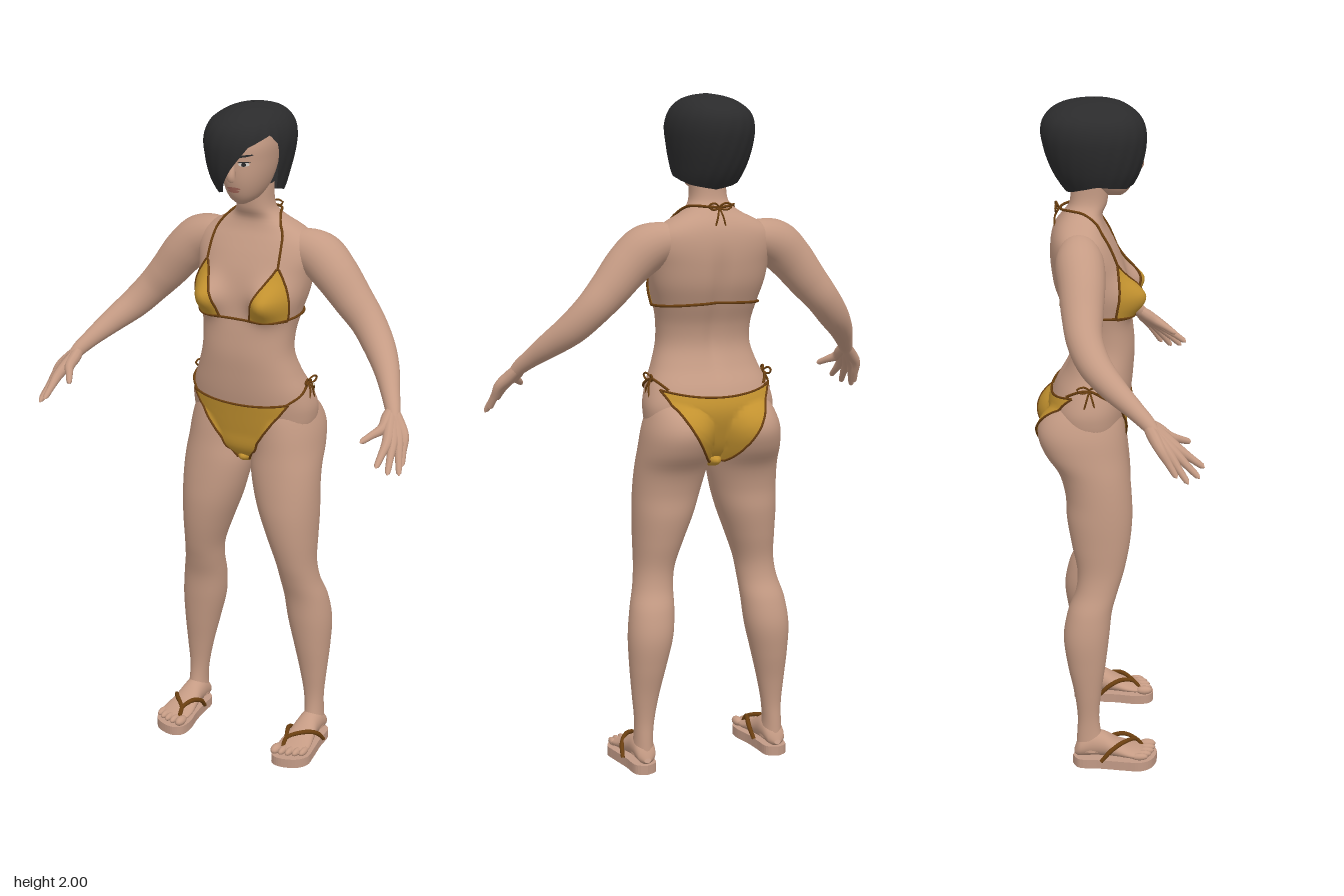
import * as THREE from 'three';

const mat = (name, color, side = THREE.FrontSide) =>
  Object.assign(new THREE.MeshStandardMaterial({ color, side }), { name });
const V = (x, y, z) => new THREE.Vector3(x, y, z);
const lerp = THREE.MathUtils.lerp;

// Smooth interpolation through rows whose first entry is the position
function sample(rows, t) {
  let i = 0;
  while (i < rows.length - 2 && t > rows[i + 1][0]) i++;
  const a = rows[i], b = rows[i + 1], p = rows[i - 1] ?? a, q = rows[i + 2] ?? b;
  const h = b[0] - a[0], s = THREE.MathUtils.clamp((t - a[0]) / h, 0, 1);
  return a.map((_, k) => {
    const m0 = (b[k] - p[k]) / (b[0] - p[0]) * h, m1 = (q[k] - a[k]) / (q[0] - a[0]) * h;
    return a[k] * (2 * s ** 3 - 3 * s * s + 1) + m0 * (s ** 3 - 2 * s * s + s)
      + b[k] * (3 * s * s - 2 * s ** 3) + m1 * (s ** 3 - s * s);
  });
}

// Surface from fn(u, v); closed joins u = 1 to u = 0
function grid(fn, nu, nv, closed) {
  const pos = [], idx = [], cols = closed ? nu : nu + 1;
  for (let j = 0; j <= nv; j++)
    for (let i = 0; i < cols; i++) pos.push(...fn(i / nu, j / nv).toArray());
  for (let j = 0; j < nv; j++)
    for (let i = 0; i < nu; i++) {
      const a = j * cols + i, b = j * cols + (i + 1) % cols;
      idx.push(a, b, a + cols, b, b + cols, a + cols);
    }
  const g = new THREE.BufferGeometry();
  g.setAttribute('position', new THREE.Float32BufferAttribute(pos, 3));
  g.setIndex(idx);
  g.computeVertexNormals();
  return g;
}

// Point on a ring [y, centreX, halfWidth, zFront, zBack]
function ringPoint(rows, y, ang, p = 2) {
  const [, cx, rx, zf, zb] = sample(rows, y), c = Math.cos(ang), s = Math.sin(ang);
  const e = n => Math.sign(n) * Math.abs(n) ** (2 / p);
  return V(cx + rx * e(c), y, (zf + zb) / 2 + (zf - zb) / 2 * e(s));
}
function loft(rows, nu, nv, p, deform = q => q) {
  const y0 = rows[0][0], y1 = rows.at(-1)[0];
  return grid((u, v) => deform(ringPoint(rows, lerp(y0, y1, v), -u * 2 * Math.PI, p)), nu, nv, true);
}

// Tube of varying radius through [x, y, z, r]
function limb(pts, seg = 40, sides = 20) {
  const path = new THREE.CatmullRomCurve3(pts.map(p => V(p[0], p[1], p[2])));
  const g = new THREE.TubeGeometry(path, seg, 1, sides), pos = g.attributes.position;
  const radii = pts.map((p, i) => [i, p[3]]), q = V(0, 0, 0);
  for (let i = 0; i <= seg; i++) {
    const c = path.getPointAt(i / seg), r = sample(radii, path.getUtoTmapping(i / seg) * (pts.length - 1))[1];
    for (let j = 0; j <= sides; j++) {
      const k = i * (sides + 1) + j;
      q.fromBufferAttribute(pos, k).sub(c).multiplyScalar(r).add(c);
      pos.setXYZ(k, q.x, q.y, q.z);
    }
  }
  return g;
}

export function createModel() {
  const root = new THREE.Group();
  const skin = mat('skin', 0xc59b84), hairMat = mat('black hair', 0x2b2b2c, THREE.DoubleSide);
  const gold = mat('gold fabric', 0xc3922f, THREE.DoubleSide), trim = mat('brown trim', 0x6b3f10);
  const soleMat = mat('sandal sole', 0xc29a86), lipMat = mat('lips', 0xa86a5c, THREE.DoubleSide);
  const white = mat('eye white', 0xd8d0ca, THREE.DoubleSide);
  const add = (name, geo, material) => {
    const m = new THREE.Mesh(geo, material);
    m.name = name;
    root.add(m);
    return m;
  };

  // Torso with bust, spine groove and neck
  const torso = add('torso', loft([
    [.925, 0, .03, -.04, -.1], [.97, 0, .11, .01, -.15], [1.03, 0, .18, .022, -.18], [1.1, 0, .198, .034, -.196],
    [1.16, 0, .186, .044, -.178], [1.22, 0, .161, .05, -.146], [1.28, 0, .143, .053, -.127], [1.34, 0, .143, .048, -.133],
    [1.4, 0, .154, .04, -.157], [1.46, 0, .17, .034, -.18], [1.52, 0, .18, .02, -.19], [1.57, 0, .19, 0, -.192],
    [1.61, 0, .18, -.02, -.187], [1.64, 0, .14, -.035, -.176], [1.67, 0, .082, -.04, -.155], [1.7, 0, .056, -.027, -.135],
    [1.77, 0, .052, -.02, -.13]], 80, 90, 2.3, q => {
    if (q.z > -.06) q.z += .058 * Math.exp(-(((Math.abs(q.x) - .1) / .048) ** 2) - ((q.y - 1.445) / .05) ** 2);
    else q.z += .012 * Math.exp(-((q.x / .022) ** 2) - ((q.y - 1.38) / .16) ** 4);
    return q;
  }), skin);

  // Head and nose
  const head = add('head', loft([
    [1.722, 0, .012, .016, -.04], [1.735, 0, .034, .032, -.065], [1.76, 0, .052, .046, -.1], [1.8, 0, .066, .056, -.13],
    [1.85, 0, .074, .058, -.15], [1.9, 0, .076, .056, -.16], [1.95, 0, .06, .03, -.14], [1.975, 0, .02, -.02, -.08]],
  48, 36, 2.2), skin);
  add('nose', limb([[0, 1.862, .05, .004], [0, 1.84, .056, .008], [0, 1.812, .065, .013], [0, 1.8, .06, .009], [0, 1.797, .053, .001]], 16, 12), skin);

  // Legs, feet and sandals
  const legs = [-1, 1].map(s => add(s > 0 ? 'leftLeg' : 'rightLeg', loft([
    [.05, .21, .033, -.03, -.125], [.1, .21, .028, -.048, -.122], [.16, .207, .03, -.055, -.12], [.24, .203, .041, -.048, -.13],
    [.33, .196, .055, -.035, -.149], [.42, .187, .067, -.024, -.16], [.5, .178, .066, -.015, -.146], [.56, .168, .06, .002, -.123],
    [.62, .16, .06, .02, -.118], [.7, .147, .074, .037, -.134], [.78, .133, .09, .045, -.148], [.85, .122, .1, .043, -.152],
    [.92, .113, .106, .037, -.172], [.98, .11, .104, .03, -.213], [1.04, .105, .101, .025, -.232], [1.09, .1, .09, .018, -.212],
    [1.14, .1, .068, 0, -.15]].map(r => [r[0], s * r[1], ...r.slice(2)]), 40, 80, 2.1), skin));
  for (const s of [-1, 1]) {
    const side = s > 0 ? 'left' : 'right';
    add(side + 'Foot', loft([
      [-.13, .212, .01, -.035, -.05], [-.12, .211, .027, -.029, -.08], [-.08, .21, .034, -.029, -.11], [-.04, .21, .036, -.029, -.105],
      [0, .211, .043, -.029, -.08], [.04, .212, .05, -.029, -.062], [.075, .212, .046, -.029, -.052], [.09, .21, .03, -.033, -.045]]
      .map(r => [r[0], s * r[1], ...r.slice(2)]), 28, 24).rotateX(Math.PI / 2), skin);
    [.172, .195, .216, .236, .254].forEach((x, i) => add(side + 'Toe', new THREE.SphereGeometry(1, 12, 8)
      .scale(i ? .0105 : .015, i ? .011 : .014, .026).translate(s * x, .042, .092 - i * i * .0016), skin));
    const outline = new THREE.SplineCurve([[.213, -.135], [.245, -.115], [.252, -.05], [.264, .02], [.269, .07], [.245, .105],
      [.195, .121], [.162, .105], [.156, .06], [.168, 0], [.174, -.06], [.18, -.115], [.213, -.135]]
      .map(p => new THREE.Vector2(s * p[0], p[1]))).getPoints(60);
    add(side + 'SandalSole', new THREE.ExtrudeGeometry(new THREE.Shape(outline), { depth: .029, bevelEnabled: false })
      .rotateX(Math.PI / 2).translate(0, .029, 0), soleMat);
    for (const [x0, x1] of [[.168, .165], [.262, .254]])
      add(side + 'SandalStrap', limb([[s * .186, .036, .082, .005], [s * .188, .066, .06, .006],
        [s * lerp(.188, x1, .6), .078, .02, .007], [s * x1, .062, -.02, .007], [s * x0, .03, -.05, .006]], 24, 8), trim);
  }

  // Arms and hands
  for (const s of [-1, 1]) {
    const side = s > 0 ? 'left' : 'right', flip = pts => pts.map(([x, ...r]) => [s * x, ...r]);
    add(side + 'Arm', limb(flip([[.1, 1.585, -.11, .04], [.15, 1.585, -.108, .058], [.2, 1.568, -.105, .069], [.25, 1.525, -.1, .066],
      [.31, 1.455, -.098, .058], [.36, 1.4, -.092, .051], [.41, 1.345, -.065, .046], [.46, 1.295, -.015, .037],
      [.5, 1.25, .04, .027], [.528, 1.215, .08, .021], [.545, 1.185, .105, .012]]), 60, 24), skin);
    for (const [k, t] of [
      [[.578, 1.16, .112], [.595, 1.087, .155]], [[.57, 1.153, .13], [.601, 1.072, .186]],
      [[.561, 1.15, .147], [.58, 1.08, .217]], [[.55, 1.152, .161], [.551, 1.1, .231]],
      [[.523, 1.18, .135], [.484, 1.15, .196]]]) {
      const mid = f => k.map((v, i) => lerp(v, t[i], f));
      add(side + 'Finger', limb(flip([[.523, 1.222, .073, .014], [...k.map((v, i) => lerp([.523, 1.222, .073][i], v, .5)), .018],
        [...k, .015], [...mid(.5), .0105], [...mid(.9), .008], [...mid(1), .001]]), 24, 10), skin);
    }
  }

  // Swept bob with a diagonal fringe
  const hairRows = [
    [1.725, 0, .08, .03, -.135], [1.76, -.004, .096, .052, -.163], [1.8, -.008, .109, .07, -.185], [1.86, -.01, .122, .083, -.207],
    [1.91, -.01, .125, .083, -.215], [1.95, -.008, .112, .066, -.204], [1.98, -.002, .079, .028, -.168],
    [1.994, 0, .042, -.012, -.12], [2, 0, .003, -.06, -.066]];
  const edge = [[-90, 1.732], [-40, 1.745], [0, 1.765], [11, 1.768], [19, 1.9], [32, 1.93], [60, 1.9], [85, 1.83], [108, 1.76],
    [125, 1.752], [180, 1.765], [225, 1.745], [270, 1.732]];
  const edgeY = deg => {
    const i = Math.max(1, edge.findIndex(e => e[0] >= deg)), [a, b] = [edge[i - 1], edge[i]];
    return lerp(a[1], b[1], (deg - a[0]) / (b[0] - a[0]));
  };
  add('hair', grid((u, v) => {
    const deg = 270 - 360 * u, y = lerp(edgeY(deg), 2, 1 - (1 - v) ** 1.5);
    const q = ringPoint(hairRows, y, deg * Math.PI / 180, 2.1);
    const k = 1 + .008 * Math.sin(deg * .35 + y * 40) * (1 - v);
    return V(q.x * k, q.y, (q.z + .065) * k - .065);
  }, 120, 32, true), hairMat);

  // Shrink-wrapping onto the body
  root.updateMatrixWorld(true);
  const ray = new THREE.Raycaster(), body = [torso, ...legs];
  let last = V(0, 0, 0);
  const cast = (origin, dir, lift, targets) => {
    ray.set(origin, dir);
    const hit = ray.intersectObjects(targets, false)[0];
    if (hit) last = hit.point.clone().addScaledVector(hit.face.normal, lift);
    return last.clone();
  };
  const onto = (x, y, dir = 1, lift = .005, targets = body) => cast(V(x, y, 2 * dir), V(0, 0, -dir), lift, targets);
  const around = (deg, y) => {
    const d = V(Math.cos(deg * Math.PI / 180), 0, Math.sin(deg * Math.PI / 180));
    return cast(V(0, y, -.07).addScaledVector(d, 2), d.negate(), .004, body);
  };
  const cord = (name, pts, r = .004, closed = false) =>
    add(name, new THREE.TubeGeometry(new THREE.CatmullRomCurve3(pts, closed), pts.length * 3, r, 6, closed), trim);
  const steps = (n, fn) => Array.from({ length: n + 1 }, (_, i) => fn(i / n));
  function panel(name, shape, dir) {
    const at = (u, v) => onto(...shape(u, v), dir);
    add(name, grid(at, 20, 20), gold);
    for (const f of [t => at(0, t), t => at(1, t), t => at(t, 1), t => at(t, 0)]) cord(name + 'Trim', steps(16, f), .0035);
  }

  // Bikini bottom, front and back
  panel('bikiniFront', (u, v) => {
    const k = 2 * u - 1;
    return [k * lerp(.024, .155, v ** 1.08), lerp(.938, 1.126 + .012 * k * k, v)];
  }, 1);
  panel('bikiniBack', (u, v) => {
    const k = 1 - 2 * u;
    return [k * lerp(.028, .165, v ** .85), lerp(.945, 1.138 + .022 * k * k, v)];
  }, -1);
  add('bikiniGusset', new THREE.SphereGeometry(1, 20, 12).scale(.03, .025, .085).translate(0, .945, -.075), gold);

  // Bows: two loops and two tails
  function bow(name, c, out, across) {
    for (const k of [-1, 1]) {
      const p = (a, b, y) => c.clone().addScaledVector(across, k * a).addScaledVector(out, b).add(V(0, y, 0));
      cord(name, [p(0, 0, 0), p(.018, .008, .013), p(.036, .01, .006), p(.022, .008, -.006)], .003, true);
      cord(name, [p(0, 0, 0), p(.008, .012, -.025), p(.016, .012, -.055)], .0028);
    }
  }
  for (const s of [-1, 1]) {
    const a = d => s > 0 ? d : 180 - d;
    cord('hipString', [[27, 1.137], [13, 1.162], [-3, 1.186], [-15, 1.178], [-27, 1.16]].map(([d, y]) => around(a(d), y)));
    bow('hipBow', around(a(-3), 1.188), V(s, 0, 0), V(0, 0, 1));
  }

  // Bikini cups, neck straps and chest band
  for (const s of [-1, 1]) {
    panel(s > 0 ? 'leftCup' : 'rightCup', (u, v) => {
      const b = Math.sin(Math.PI * v);
      const inner = lerp(.05, .112, v) - .004 * b, outer = lerp(.142, .118, v) + .019 * b;
      return [s * lerp(inner, outer, s > 0 ? u : 1 - u), lerp(1.392, 1.54, v)];
    }, 1);
    cord('neckStrap', [...[[.115, 1.54], [.114, 1.57], [.112, 1.6], [.106, 1.63], [.09, 1.655]].map(([x, y]) => onto(s * x, y)),
      V(s * .073, 1.682, -.095), V(s * .058, 1.687, -.13), V(s * .03, 1.685, -.155), V(0, 1.683, -.162)]);
  }
  cord('chestBand', steps(60, t => around(t * 360, 1.4 - .011 * Math.sin(t * 2 * Math.PI))).slice(0, -1), .004, true);
  bow('neckBow', V(0, 1.683, -.165), V(0, 0, -1), V(1, 0, 0));

  // Eyes, brows and lips as thin patches
  const dot = (name, x, y, w, h, material, lift, tilt = 0) => add(name, grid((u, v) => {
    const k = 2 * u - 1;
    return onto(x + k * w, y + tilt * k + (2 * v - 1) * h * Math.sqrt(1 - k * k), 1, lift, [head]);
  }, 12, 4), material);
  for (const s of [-1, 1]) {
    dot('eye', s * .032, 1.847, .014, .006, white, .001);
    dot('iris', s * .032, 1.847, .006, .006, hairMat, .002);
    dot('lashLine', s * .032, 1.854, .016, .002, hairMat, .0025);
    dot('eyebrow', s * .034, 1.871, .02, .003, hairMat, .002, s * .003);
  }
  dot('upperLip', 0, 1.776, .021, .004, lipMat, .003);
  dot('lowerLip', 0, 1.769, .018, .005, lipMat, .004);
  return root;
}
